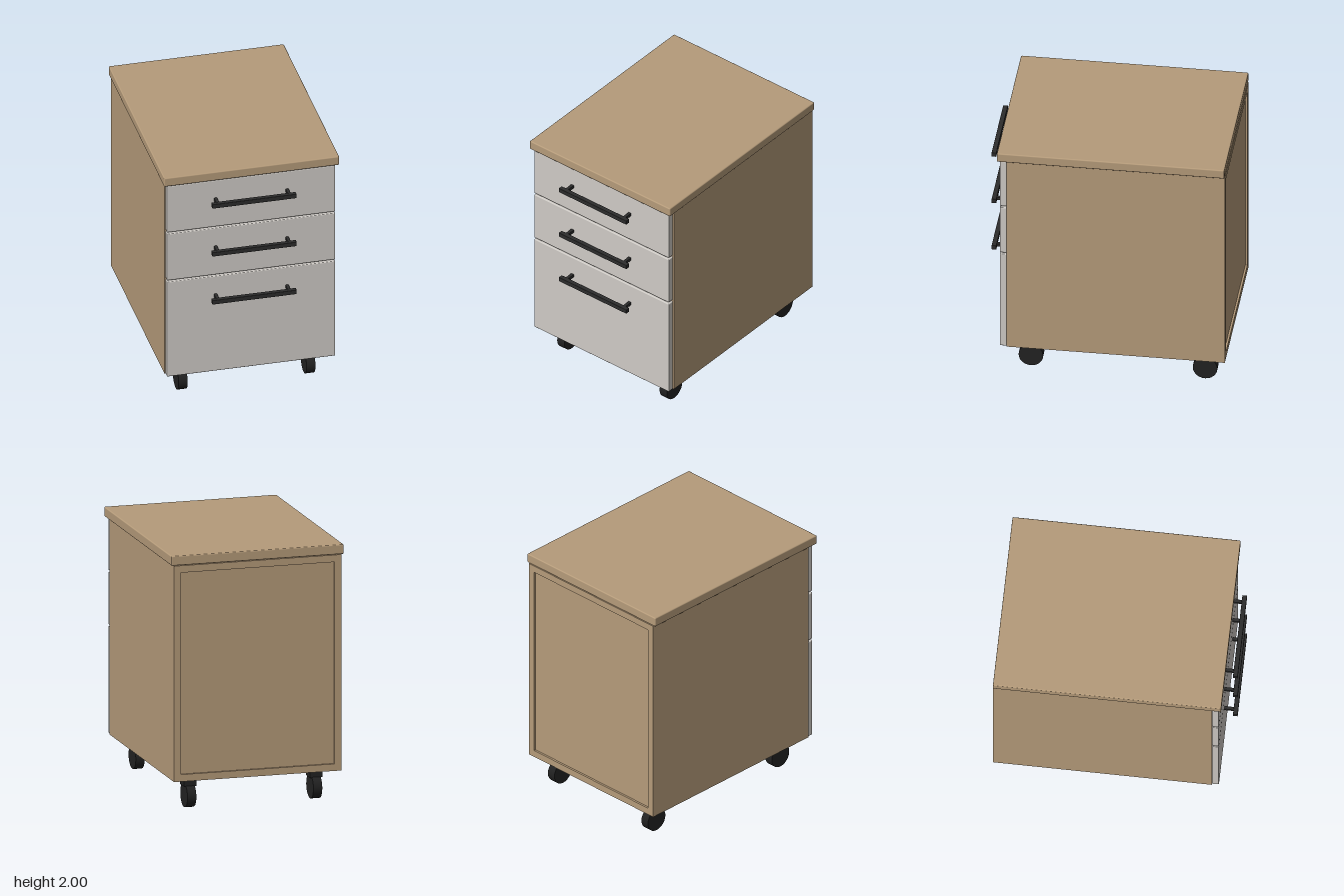
import * as THREE from 'three';
import { RoundedBoxGeometry } from 'three/addons/geometries/RoundedBoxGeometry.js';

const wood = new THREE.MeshStandardMaterial({ color: 0xb59b7a });
const paint = new THREE.MeshStandardMaterial({ color: 0xcfcbc6 });
const metal = new THREE.MeshStandardMaterial({ color: 0x2c2c2c });
const rubber = new THREE.MeshStandardMaterial({ color: 0x222222 });

// Box given by its limits on each axis; bevel > 0 rounds the edges
function box(name, material, [x0, x1], [y0, y1], [z0, z1], bevel = 0) {
  const size = [x1 - x0, y1 - y0, z1 - z0];
  const geometry = bevel
    ? new RoundedBoxGeometry(...size, 2, bevel)
    : new THREE.BoxGeometry(...size);
  const mesh = new THREE.Mesh(geometry, material);
  mesh.name = name;
  mesh.position.set((x0 + x1) / 2, (y0 + y1) / 2, (z0 + z1) / 2);
  return mesh;
}

function createHandle(y) {
  const handle = new THREE.Group();
  handle.name = 'handle';
  handle.add(box('handleBar', metal, [-0.33, 0.33], [y - 0.018, y + 0.018], [0.88, 0.916], 0.003));
  for (const x of [-0.28, 0.28]) {
    handle.add(box('handlePost', metal, [x - 0.012, x + 0.012], [y - 0.012, y + 0.012], [0.805, 0.885]));
  }
  return handle;
}

function createCaster(x, z) {
  const caster = new THREE.Group();
  caster.name = 'caster';
  caster.add(box('casterMount', rubber, [-0.05, 0.05], [0.17, 0.242], [-0.05, 0.05]));
  const wheel = new THREE.Mesh(new THREE.CylinderGeometry(0.094, 0.094, 0.07, 24), rubber);
  wheel.name = 'casterWheel';
  wheel.rotation.z = Math.PI / 2;
  wheel.position.y = 0.094;
  caster.add(wheel);
  caster.position.set(x, 0, z);
  return caster;
}

export function createModel() {
  const model = new THREE.Group();
  model.name = 'mobilePedestal';

  // Carcass: side, top and bottom panels around a slightly recessed back
  const carcass = new THREE.Group();
  carcass.name = 'carcass';
  const depth = [-0.916, 0.755];
  const inner = [-0.61, 0.61];
  carcass.add(
    box('leftSide', wood, [0.61, 0.665], [0.24, 1.923], depth),
    box('rightSide', wood, [-0.665, -0.61], [0.24, 1.923], depth),
    box('bottomPanel', wood, inner, [0.24, 0.295], depth),
    box('topRail', wood, inner, [1.868, 1.923], depth),
    box('backPanel', wood, inner, [0.295, 1.868], [-0.9, -0.87])
  );
  // Dividers behind the gaps between the drawers
  for (const y of [1.08, 1.502]) {
    carcass.add(box('divider', wood, inner, [y - 0.027, y + 0.027], [-0.87, 0.74]));
  }
  model.add(carcass);

  model.add(box('worktop', wood, [-0.685, 0.685], [1.925, 2], [-0.914, 0.828], 0.009));

  // Drawers: bottom, top and handle height
  for (const [y0, y1, handleY] of [[1.509, 1.915, 1.752], [1.087, 1.495, 1.33], [0.241, 1.073, 0.908]]) {
    const drawer = new THREE.Group();
    drawer.name = 'drawer';
    drawer.add(box('drawerFront', paint, [-0.658, 0.658], [y0, y1], [0.756, 0.809], 0.007), createHandle(handleY));
    model.add(drawer);
  }

  for (const x of [-0.5, 0.5]) {
    for (const z of [0.587, -0.747]) model.add(createCaster(x, z));
  }
  return model;
}
